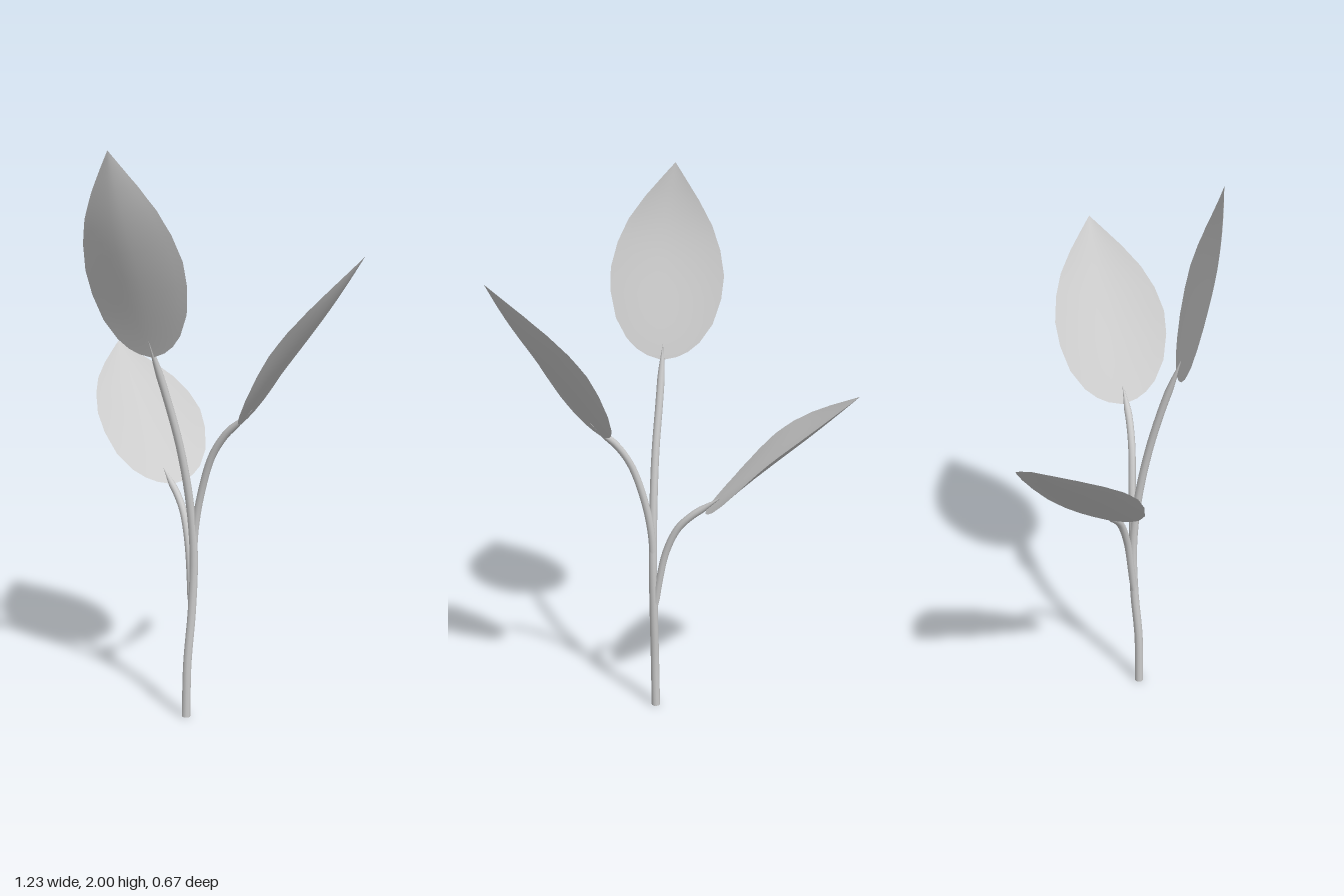
import * as THREE from 'three';
import { mergeVertices } from 'three/addons/utils/BufferGeometryUtils.js';

const V = (p) => new THREE.Vector3(...p);
const grey = new THREE.MeshStandardMaterial({ color: 0xcccccc, side: THREE.DoubleSide });

// Piecewise-linear lookup in [t, value] pairs
function sample(table, t) {
  const i = Math.max(1, table.findIndex((p) => p[0] >= t));
  const [a, b] = [table[i - 1], table[i]];
  return THREE.MathUtils.mapLinear(t, a[0], b[0], a[1], b[1]);
}

// Stem: a tube whose rings are scaled to follow a radius profile
function stem(name, points, radii) {
  const curve = new THREE.CatmullRomCurve3(points.map(V));
  const rings = 32, sides = 10;
  const geo = new THREE.TubeGeometry(curve, rings, 1, sides);
  const pos = geo.attributes.position, v = new THREE.Vector3();
  for (let i = 0; i <= rings; i++) {
    const centre = curve.getPointAt(i / rings), r = sample(radii, i / rings);
    for (let j = 0; j <= sides; j++) {
      const k = i * (sides + 1) + j;
      v.fromBufferAttribute(pos, k).sub(centre).multiplyScalar(r).add(centre);
      pos.setXYZ(k, v.x, v.y, v.z);
    }
  }
  const mesh = new THREE.Mesh(geo, grey);
  mesh.name = name;
  return mesh;
}

// Half width of a leaf along its length
const leafWidth = [[0, 0], [0.02, 0.055], [0.05, 0.095], [0.1, 0.135], [0.2, 0.18], [0.33, 0.205],
  [0.45, 0.21], [0.58, 0.19], [0.7, 0.155], [0.82, 0.1], [0.92, 0.045], [1, 0]];

// Leaf: cross-sections along the midrib, flat at the base and cupped inwards further out
function leaf(name, base, tip, across, bulge, cup) {
  const a = V(base), axis = V(tip).sub(a);
  const w = V(across).projectOnPlane(axis.clone().normalize()).normalize();
  const inner = w.clone().cross(axis).normalize();
  if (inner.y < 0) inner.negate();
  const rows = [...leafWidth.map((p) => p[0]), 0.15, 0.26, 0.39, 0.52, 0.64, 0.76, 0.87, 0.96]
    .sort((p, q) => p - q);
  const cols = 12, verts = [], index = [];
  rows.forEach((t, i) => {
    const half = sample(leafWidth, t);
    const curl = cup * (half / 0.21) * THREE.MathUtils.smoothstep(t, -0.1, 0.6);
    for (let j = 0; j <= cols; j++) {
      const s = (j / cols) * 2 - 1;
      const lift = curl * Math.pow(Math.abs(s), 1.6) - bulge * Math.sin(Math.PI * Math.pow(t, 1.5));
      const p = a.clone().addScaledVector(axis, t).addScaledVector(w, s * half).addScaledVector(inner, lift);
      verts.push(p.x, p.y, p.z);
      if (i && j) {
        const d = i * (cols + 1) + j, c = d - 1, b = d - cols - 1, e = b - 1;
        if (i > 1) index.push(e, b, d);
        if (i < rows.length - 1) index.push(e, d, c);
        else index.push(e, b, c);
      }
    }
  });
  let geo = new THREE.BufferGeometry();
  geo.setAttribute('position', new THREE.Float32BufferAttribute(verts, 3));
  geo.setIndex(index);
  geo = mergeVertices(geo, 1e-5);
  geo.computeVertexNormals();
  const mesh = new THREE.Mesh(geo, grey);
  mesh.name = name;
  return mesh;
}

export function createModel() {
  const plant = new THREE.Group();
  plant.name = 'plant';

  // Main stem with its flat cut end
  plant.add(stem('mainStem', [
    [0.006, 0, 0.098], [0.01, 0.2, 0.095], [0.018, 0.4, 0.078], [0.022, 0.6, 0.072],
    [0.016, 0.8, 0.088], [0.0, 1.0, 0.122], [-0.025, 1.18, 0.165], [-0.053, 1.375, 0.224],
  ], [[0, 0.016], [0.5, 0.015], [0.92, 0.0135], [1, 0.001]]));
  const cut = new THREE.Mesh(new THREE.CircleGeometry(0.016, 10), grey);
  cut.name = 'stemEnd';
  cut.rotation.x = Math.PI / 2;
  cut.position.set(0.006, 0, 0.098);
  plant.add(cut);

  // Side stems
  const sideRadii = [[0, 0.008], [0.1, 0.0135], [0.85, 0.013], [1, 0.001]];
  plant.add(stem('leftStem', [
    [0.02, 0.58, 0.072], [0.027, 0.7, 0.07], [0.052, 0.83, 0.069], [0.1, 0.97, 0.07],
    [0.155, 1.053, 0.064], [0.205, 1.1, 0.055], [0.25, 1.145, 0.045],
  ], sideRadii));
  plant.add(stem('rightStem', [
    [0.014, 0.4, 0.077], [0.003, 0.5, 0.066], [-0.022, 0.64, 0.048], [-0.06, 0.735, 0.025],
    [-0.105, 0.788, 0.002], [-0.15, 0.824, -0.018], [-0.2, 0.863, -0.04],
  ], sideRadii));

  // Leaves
  plant.add(leaf('topLeaf', [-0.045, 1.315, 0.211], [-0.125, 2, 0.338], [1, 0.1, -0.01], 0.03, 0.028));
  plant.add(leaf('leftLeaf', [0.205, 1.09, 0.045], [0.61, 1.667, -0.06], [0.1, -0.05, 0.415], 0.01, 0.045));
  plant.add(leaf('rightLeaf', [-0.15, 0.815, -0.025], [-0.615, 1.273, -0.28], [0.17, -0.01, -0.375], 0.005, 0.045));
  return plant;
}
